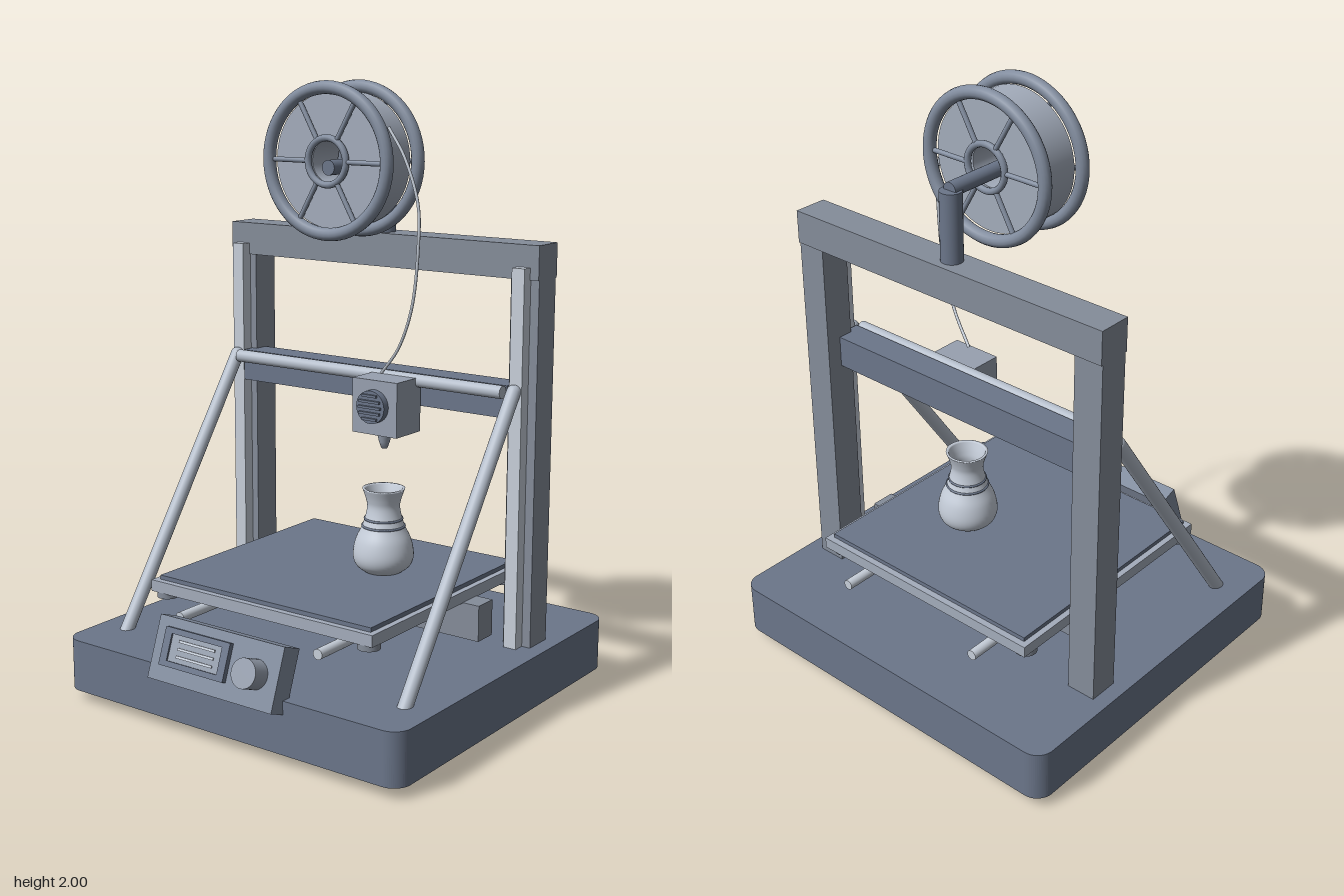
import * as THREE from 'three';

export function createModel() {
  const root = new THREE.Group();
  root.name = 'printer';
  const paint = (color, side = THREE.FrontSide) => new THREE.MeshStandardMaterial({ color, side });
  const dark = paint(0x6b768a);
  const frame = paint(0x858d9a);
  const body = paint(0x98a1b0);
  const steel = paint(0xb4bdca);
  const pale = paint(0xc8d0db);
  const panelGrey = paint(0x828d9f);
  const drumGrey = paint(0xa4adbc, THREE.DoubleSide);
  const vaseGrey = paint(0xc4ccd8, THREE.DoubleSide);

  function add(name, geometry, material, parent = root) {
    const mesh = new THREE.Mesh(geometry, material);
    mesh.name = name;
    parent.add(mesh);
    return mesh;
  }
  // Box given by its limits on each axis
  function box(name, material, [x0, x1], [y0, y1], [z0, z1], parent = root) {
    const mesh = add(name, new THREE.BoxGeometry(x1 - x0, y1 - y0, z1 - z0), material, parent);
    mesh.position.set((x0 + x1) / 2, (y0 + y1) / 2, (z0 + z1) / 2);
    return mesh;
  }
  // Cylinder (or capsule) between two points
  function rod(name, material, a, b, r, parent = root, round = false) {
    const p = new THREE.Vector3(...a), q = new THREE.Vector3(...b);
    const length = p.distanceTo(q);
    const mesh = add(name, round ? new THREE.CapsuleGeometry(r, length, 8, 24)
      : new THREE.CylinderGeometry(r, r, length, 32), material, parent);
    mesh.position.copy(p).add(q).multiplyScalar(0.5);
    mesh.quaternion.setFromUnitVectors(new THREE.Vector3(0, 1, 0), q.sub(p).normalize());
    return mesh;
  }
  const profile = points => points.map(p => new THREE.Vector2(...p));

  // Base slab with rounded corners
  const w = 0.662, z0 = -0.665, z1 = 0.573, c = 0.06;
  const slab = new THREE.Shape();
  slab.absarc(w - c, -z0 - c, c, 0, Math.PI / 2);
  slab.absarc(-w + c, -z0 - c, c, Math.PI / 2, Math.PI);
  slab.absarc(-w + c, -z1 + c, c, Math.PI, Math.PI * 1.5);
  slab.absarc(w - c, -z1 + c, c, Math.PI * 1.5, Math.PI * 2);
  const base = add('base', new THREE.ExtrudeGeometry(slab, { depth: 0.172, bevelEnabled: false, curveSegments: 8 }), dark);
  base.rotation.x = -Math.PI / 2;
  base.position.y = 0.038;

  // Parts mirrored left and right
  for (const s of [-1, 1]) {
    const span = (a, b) => (s > 0 ? [a, b] : [-b, -a]);
    for (const z of [0.403, -0.488]) box('foot', frame, span(0.42, 0.555), [0, 0.038], [z - 0.067, z + 0.067]);
    box('framePost', frame, span(0.51, 0.61), [0.21, 1.4], [-0.347, -0.245]);
    box('verticalRail', pale, span(0.535, 0.58), [0.21, 1.437], [-0.245, -0.205]);
    rod('brace', steel, [s * 0.557, 0.2, 0.395], [s * 0.557, 1.052, -0.195], 0.023, root, true);
    rod('bedRod', pale, [s * 0.275, 0.322, 0.442], [s * 0.275, 0.322, -0.537], 0.017);
    for (const z of [0.355, -0.425]) rod('levellingKnob', frame, [s * 0.402, 0.345, z], [s * 0.402, 0.365, z], 0.036);
  }
  box('topBeam', frame, [-0.61, 0.61], [1.398, 1.507], [-0.353, -0.24]);

  // Gantry
  box('gantryBeam', dark, [-0.53, 0.53], [0.963, 1.068], [-0.295, -0.2]);
  rod('gantryRod', steel, [-0.53, 1.051, -0.175], [0.53, 1.051, -0.175], 0.021);

  // Print head with fan and nozzle
  const head = new THREE.Group();
  head.name = 'printHead';
  head.position.set(0.132, 0, 0);
  root.add(head);
  box('headBody', body, [-0.086, 0.086], [0.883, 1.062], [-0.185, -0.05], head);
  rod('fan', dark, [0, 0.978, -0.05], [0, 0.978, -0.025], 0.054, head);
  for (let i = -2; i <= 2; i++) {
    const half = Math.sqrt(0.05 ** 2 - (i * 0.019) ** 2) * 0.85;
    box('fanSlat', dark, [-half, half], [0.974 + i * 0.019, 0.982 + i * 0.019], [-0.026, -0.016], head);
  }
  const nozzle = add('nozzle', new THREE.LatheGeometry(
    profile([[0, 0.83], [0.01, 0.83], [0.018, 0.852], [0.025, 0.885]]), 24), body, head);
  nozzle.position.z = -0.107;

  // Bed
  box('bedSupport', frame, [-0.5, 0.5], [0.248, 0.367], [-0.19, -0.107]);
  box('bedFrame', drumGrey, [-0.44, 0.44], [0.365, 0.403], [-0.477, 0.393]);
  box('bedPlate', dark, [-0.42, 0.42], [0.403, 0.417], [-0.455, 0.372]);

  // Printed vase
  const outline = new THREE.SplineCurve(profile([[0.062, 0.417], [0.09, 0.44], [0.1, 0.475], [0.091, 0.525],
    [0.068, 0.575], [0.054, 0.63], [0.058, 0.662], [0.07, 0.697]])).getPoints(36);
  const inside = outline.filter(p => p.y > 0.43).reverse().map(p => new THREE.Vector2(p.x - 0.008, p.y));
  const vase = new THREE.Group();
  vase.name = 'vase';
  vase.position.set(0.132, 0, -0.105);
  root.add(vase);
  add('vaseBody', new THREE.LatheGeometry(
    [new THREE.Vector2(0, 0.417), ...outline, ...inside, new THREE.Vector2(0, 0.432)], 40), vaseGrey, vase);
  for (const [y, r] of [[0.595, 0.061], [0.571, 0.069]]) {
    const band = add('vaseBand', new THREE.TorusGeometry(r, 0.004, 8, 40), dark, vase);
    band.rotation.x = Math.PI / 2;
    band.position.y = y;
  }

  // Tilted control panel
  const panel = new THREE.Group();
  panel.name = 'controlPanel';
  panel.position.set(0, 0.268, 0.56);
  panel.rotation.x = -0.35;
  root.add(panel);
  box('panelBody', panelGrey, [-0.245, 0.245], [-0.1, 0.1], [-0.0375, 0.0375], panel);
  box('screenBottomEdge', dark, [-0.2, 0.057], [-0.05, -0.032], [0.037, 0.054], panel);
  box('screenTopEdge', dark, [-0.2, 0.057], [0.052, 0.07], [0.037, 0.054], panel);
  box('screenSideEdge', dark, [-0.2, -0.172], [-0.032, 0.052], [0.037, 0.054], panel);
  box('screenSideEdge', dark, [0.029, 0.057], [-0.032, 0.052], [0.037, 0.054], panel);
  box('screen', body, [-0.172, 0.029], [-0.032, 0.052], [0.037, 0.048], panel);
  for (const y of [-0.014, 0.01, 0.034]) box('screenLine', pale, [-0.14, 0.003], [y - 0.004, y + 0.004], [0.047, 0.052], panel);
  rod('knob', body, [0.16, 0, 0.037], [0.16, 0, 0.098], 0.046, panel);

  // Spool: hollow drum between two spoked rims
  const spool = new THREE.Group();
  spool.name = 'spool';
  spool.position.set(0, 1.752, 0);
  root.add(spool);
  const drum = add('drum', new THREE.LatheGeometry(
    profile([[0.068, -0.125], [0.21, -0.125], [0.21, -0.125], [0.21, 0.01], [0.21, 0.01], [0.068, 0.01],
      [0.068, 0.01], [0.068, -0.125]]), 64), drumGrey, spool);
  drum.rotation.x = Math.PI / 2;
  for (const z of [0.027, -0.143]) {
    add('rim', new THREE.TorusGeometry(0.227, 0.021, 14, 64), panelGrey, spool).position.z = z;
    add('hubRing', new THREE.TorusGeometry(0.073, 0.011, 10, 40), panelGrey, spool).position.z = z;
    for (let i = 0; i < 6; i++) {
      const a = i * Math.PI / 3, x = Math.cos(a), y = Math.sin(a);
      rod('spoke', panelGrey, [x * 0.075, y * 0.075, z], [x * 0.22, y * 0.22, z], 0.008, spool);
    }
  }

  // Spool holder
  rod('holderPost', dark, [0, 1.505, -0.295], [0, 1.73, -0.295], 0.035);
  rod('holderArm', dark, [0, 1.732, -0.3], [0, 1.732, 0.02], 0.024);

  // Filament from the spool to the print head
  const path = new THREE.CatmullRomCurve3([[0.19, 1.86, -0.035], [0.25, 1.77, -0.035], [0.302, 1.63, -0.033],
    [0.305, 1.5, -0.032], [0.277, 1.31, -0.042], [0.217, 1.175, -0.06], [0.132, 1.08, -0.087]]
    .map(p => new THREE.Vector3(...p)));
  add('filament', new THREE.TubeGeometry(path, 48, 0.005, 8), pale);

  return root;
}
